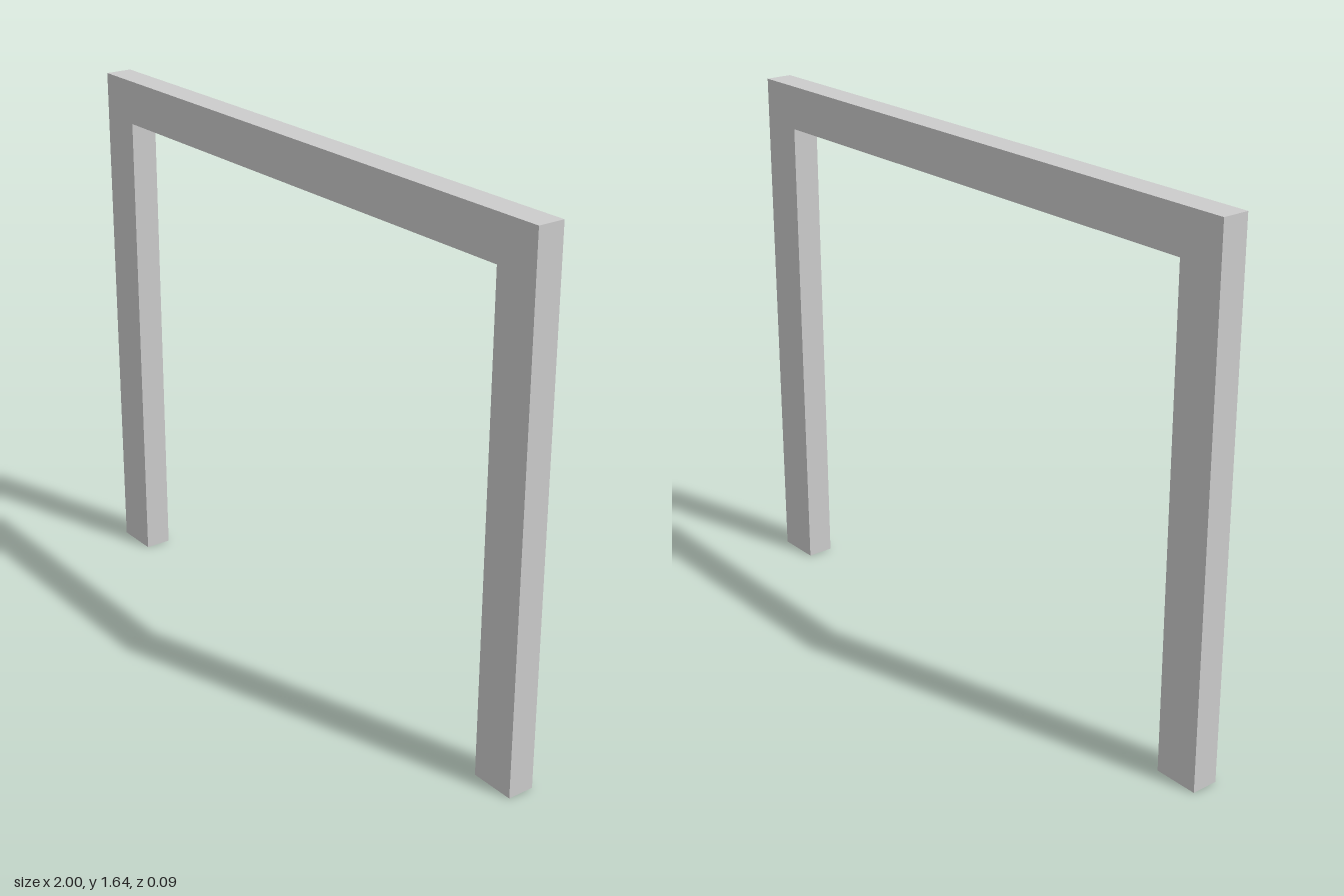
import * as THREE from 'three';

const HALF_WIDTH = 1, HEIGHT = 1.645, DEPTH = 0.085;
const INNER_X = 0.858, INNER_Y = 1.508;

export function createModel() {
  const model = new THREE.Group();
  model.name = 'doorFrame';

  // Outline of two jambs joined by a header, open at the bottom
  const outline = new THREE.Shape([
    [-HALF_WIDTH, 0], [-INNER_X, 0], [-INNER_X, INNER_Y], [INNER_X, INNER_Y],
    [INNER_X, 0], [HALF_WIDTH, 0], [HALF_WIDTH, HEIGHT], [-HALF_WIDTH, HEIGHT],
  ].map(([x, y]) => new THREE.Vector2(x, y)));

  // One seamless solid, centred front to back
  const geometry = new THREE.ExtrudeGeometry(outline, { depth: DEPTH, bevelEnabled: false });
  geometry.translate(0, 0, -DEPTH / 2);

  const frame = new THREE.Mesh(geometry, new THREE.MeshStandardMaterial({ color: 0xcccccc }));
  frame.name = 'frame';
  model.add(frame);
  return model;
}
